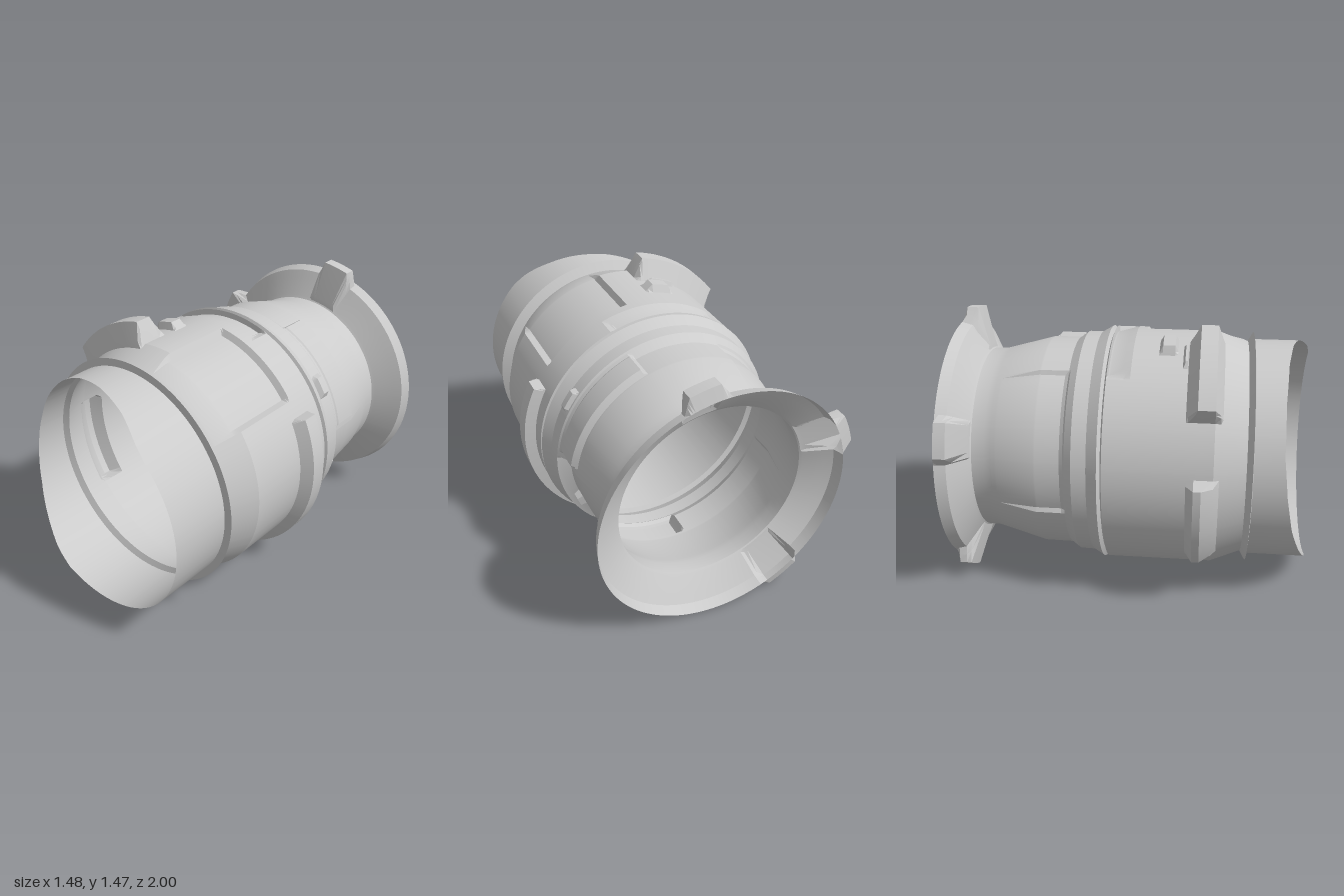
import * as THREE from 'three';
import { toCreasedNormals } from 'three/addons/utils/BufferGeometryUtils.js';

// Thin open barrel along z: [z, radius] from front mouth to rear flange rim
const PROFILE = [
  [1, 0.62], [0.655, 0.62], [0.65, 0.66], [0.62, 0.608], [0.45, 0.675],
  [-0.125, 0.675], [-0.135, 0.65], [-0.15, 0.677], [-0.21, 0.642], [-0.29, 0.64],
  [-0.34, 0.605], [-0.5, 0.603], [-0.78, 0.527], [-0.85, 0.525], [-0.86, 0.54],
  [-0.94, 0.68], [-1, 0.697],
];
const AXIS_Y = 0.7;

// Bands of the barrel, each named and ending at its rear z
const BANDS = [
  ['frontSleeve', 0.655], ['collar', 0.62], ['mainBody', -0.135],
  ['ridgeRing', -0.34], ['rearBarrel', -0.85], ['rearFlange', -1],
];

// Pressed shapes: t0..t1 degrees, z0 (front)..z1 (rear), r = face radius,
// it / ia / ib = slope widths at the ends, the front and the rear
const bump = (name, t0, t1, z0, z1, r, it, ia, ib) => ({ name, t0, t1, z0, z1, r, it, ia, ib, raise: true });
const dent = (name, t0, t1, z0, z1, r, it, ia, ib) => ({ name, t0, t1, z0, z1, r, it, ia, ib, raise: false });
const lug = (t0, t1, r) => bump('flangeLug', t0, t1, -0.855, -1, r, 4, 0.06, 0.02);
const SHAPES = [
  // Recesses
  dent('topPanelRecess', 36, 84, 0.6, 0.05, 0.643, 2, 0.01, 0.02),
  dent('topNotch', 69, 127, 0, -0.125, 0.645, 4, 0.11, 0.005),
  dent('sideWindow', -45, 5, -0.29, -0.72, 0.572, 1, 0.03, 0.01),
  dent('farWindow', 118, 197, -0.33, -0.74, 0.588, 2, 0.03, 0.01),
  // Fins and blocks on the barrel
  bump('upperFin', 99, 146, 0.49, 0.3, 0.79, 3, 0.04, 0.06),
  bump('lowerFin', 171, 218, 0.48, 0.31, 0.742, 3, 0.09, 0.04),
  bump('longArcRail', -71, 28, 0.1, -0.04, 0.735, 1.5, 0.04, 0.012),
  bump('smallTopBlock', 98, 112, 0.24, 0.14, 0.715, 3, 0.015, 0.02),
  bump('finNub', 103, 120, 0.3, 0.27, 0.7, 3, 0.005, 0.012),
  bump('upperBlock', 8, 71, -0.3, -0.49, 0.632, 2, 0.03, 0.025),
  bump('lowerBlock', -95, -45, -0.3, -0.48, 0.66, 3, 0.03, 0.04),
  bump('windowKnob', -25, -18, -0.33, -0.4, 0.605, 1, 0.01, 0.01),
  bump('ridgeKnob', 28, 40, -0.21, -0.28, 0.664, 2, 0.02, 0.01),
  // Lugs on the rear flange
  lug(69, 89, 0.772), lug(147, 169, 0.765), lug(226, 248, 0.765),
];

// Depth of the scooped front mouth by angle
const TRIM = [[45, 1], [55, 0.98], [70, 0.92], [90, 0.865], [110, 0.83], [135, 0.81],
  [160, 0.81], [180, 0.835], [200, 0.875], [220, 0.935], [235, 0.98], [248, 1]];

function interpolate(table, x) {
  for (let i = 0; i < table.length - 1; i++) {
    const [a, p] = table[i], [b, q] = table[i + 1];
    if ((x - a) * (x - b) <= 0) return p + (q - p) * (x - a) / (b - a);
  }
  return 1;
}

const mod360 = (a) => ((a % 360) + 360) % 360;

// How far a point is up the slope of a pressed shape, 0..1
function weight(s, deg, z) {
  const d = mod360(deg - s.t0);
  const w = Math.min(d / s.it, (s.t1 - s.t0 - d) / s.it, (s.z0 - z) / s.ia, (z - s.z1) / s.ib);
  return Math.min(1, Math.max(0, w));
}

function radiusAt(deg, z) {
  let r = interpolate(PROFILE, z);
  for (const s of SHAPES) {
    const face = s.raise ? Math.max(r, s.r) : Math.min(r, s.r);
    r += (face - r) * weight(s, deg, z);
  }
  return r;
}

function pointAt(deg, z) {
  const r = radiusAt(deg, z), a = deg * Math.PI / 180;
  let depth = z;
  if (z > 0.655) depth = 0.655 + (z - 0.655) * (interpolate(TRIM, mod360(deg)) - 0.655) / 0.345;
  return [r * Math.cos(a), AXIS_Y + r * Math.sin(a), depth];
}

const distinct = (list) => list.sort((a, b) => a - b).filter((v, i, l) => i === 0 || v - l[i - 1] > 1e-4);

export function createModel() {
  const model = new THREE.Group();
  model.name = 'lensBarrel';
  const material = new THREE.MeshStandardMaterial({ color: 0xcccccc, side: THREE.DoubleSide });

  // Grid lines follow every edge of the profile and pressed shapes
  const zs = PROFILE.map((p) => p[0]);
  const angles = Array.from({ length: 121 }, (_, i) => i * 3);
  for (const s of SHAPES) {
    zs.push(s.z0, s.z0 - s.ia, s.z1 + s.ib, s.z1);
    angles.push(...[s.t0, s.t0 + s.it, s.t1 - s.it, s.t1].map(mod360));
  }
  const rows = distinct(zs).reverse();
  const cols = distinct(angles);

  // Sort each cell of the skin into the part it belongs to
  const parts = new Map();
  for (let i = 0; i < rows.length - 1; i++) {
    for (let j = 0; j < cols.length - 1; j++) {
      const zMid = (rows[i] + rows[i + 1]) / 2, tMid = (cols[j] + cols[j + 1]) / 2;
      const shape = SHAPES.findLast((s) => weight(s, tMid, zMid) > 0);
      const key = shape || BANDS.find((b) => zMid > b[1]);
      if (!parts.has(key)) parts.set(key, []);
      const a = pointAt(cols[j], rows[i]), b = pointAt(cols[j], rows[i + 1]);
      const c = pointAt(cols[j + 1], rows[i + 1]), d = pointAt(cols[j + 1], rows[i]);
      parts.get(key).push(...a, ...b, ...c, ...a, ...c, ...d);
    }
  }

  // One mesh per part, smooth around the barrel and sharp at the steps
  for (const [key, positions] of parts) {
    const geometry = new THREE.BufferGeometry();
    geometry.setAttribute('position', new THREE.Float32BufferAttribute(positions, 3));
    const mesh = new THREE.Mesh(toCreasedNormals(geometry, 0.35), material);
    mesh.name = key.name || key[0];
    model.add(mesh);
  }
  return model;
}
